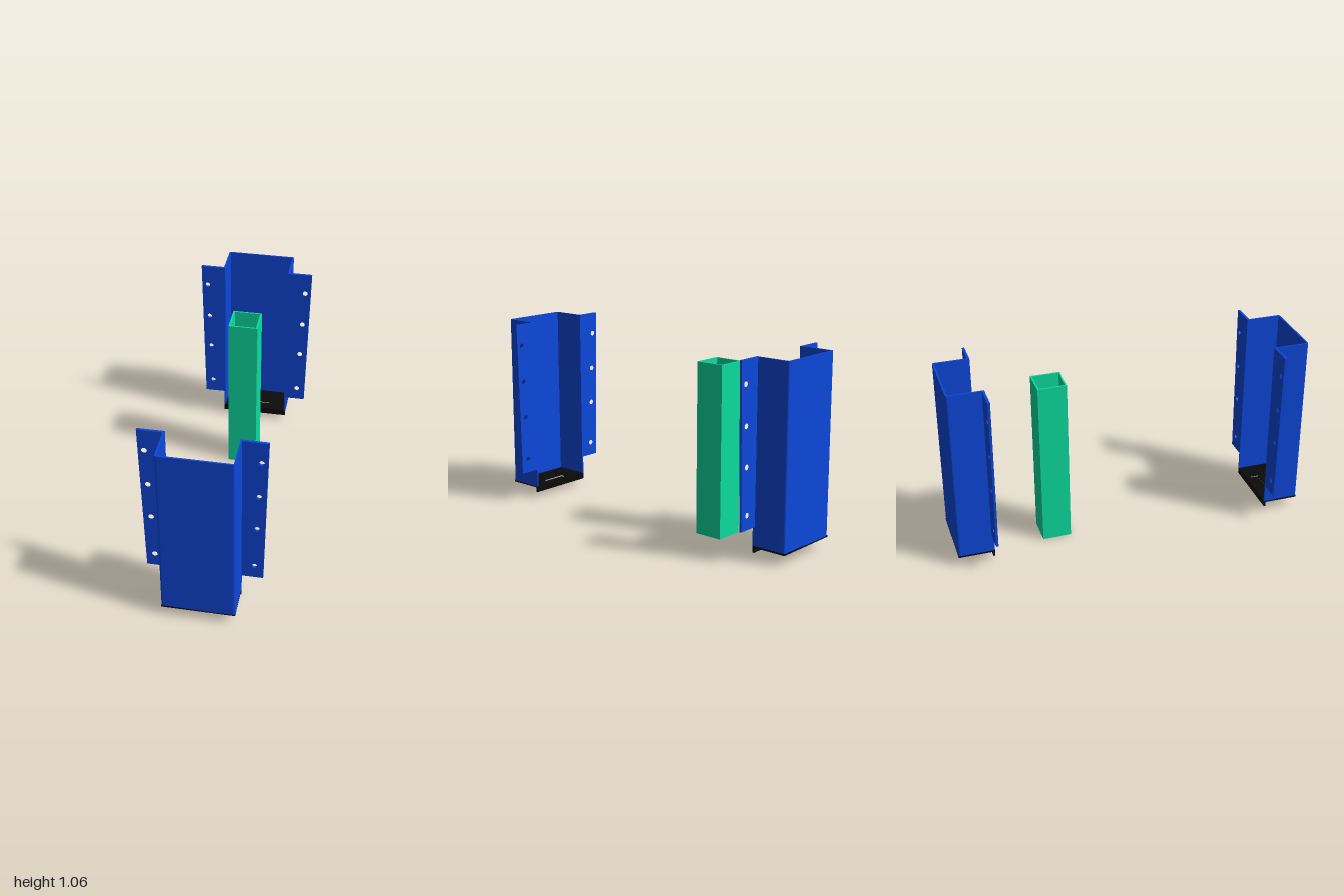
import * as THREE from 'three';

const blue = new THREE.MeshStandardMaterial({ color: 0x0d48dc });
const black = new THREE.MeshStandardMaterial({ color: 0x0b0b0b });
const green = new THREE.MeshStandardMaterial({ color: 0x0cdea0 });

const W = 0.195, T = 0.009, TOP = 1.055, FLOOR = 0.065, INNER = 0.8, OUTER = 1;

function add(group, name, geometry, material) {
  const mesh = new THREE.Mesh(geometry, material);
  mesh.name = name;
  group.add(mesh);
  return mesh;
}

function box(group, name, material, x0, x1, y0, y1, z0, z1) {
  const mesh = add(group, name, new THREE.BoxGeometry(x1 - x0, y1 - y0, z1 - z0), material);
  mesh.position.set((x0 + x1) / 2, (y0 + y1) / 2, (z0 + z1) / 2);
}

// Extrudes a plan outline (x, -z) upwards from y0 to y1
function extrudeUp(shape, y0, y1) {
  return new THREE.ExtrudeGeometry(shape, { depth: y1 - y0, bevelEnabled: false, curveSegments: 5 })
    .rotateX(-Math.PI / 2)
    .translate(0, y0, 0);
}

// U-shaped sheet with bent outer corners
function channelShape() {
  const r = 0.012, w = W - T, b = OUTER - T;
  const s = new THREE.Shape();
  s.moveTo(-W, -INNER);
  s.lineTo(-W, -OUTER + r);
  s.quadraticCurveTo(-W, -OUTER, -W + r, -OUTER);
  s.lineTo(W - r, -OUTER);
  s.quadraticCurveTo(W, -OUTER, W, -OUTER + r);
  s.lineTo(W, -INNER);
  s.lineTo(w, -INNER);
  s.lineTo(w, -b);
  s.lineTo(-w, -b);
  s.lineTo(-w, -INNER);
  s.closePath();
  return s;
}

// Tapered mounting flange with four bolt holes
function flangeGeometry(side) {
  const s = new THREE.Shape([
    [W - 0.004, 0.17], [0.309, 0.17], [0.327, TOP], [W - 0.004, TOP],
  ].map(([x, y]) => new THREE.Vector2(side * x, y)));
  for (const [x, y] of [[0.264, 0.249], [0.274, 0.504], [0.282, 0.717], [0.292, 0.932]]) {
    const hole = new THREE.Path();
    hole.absarc(side * x, y, 0.0145, 0, Math.PI * 2, true);
    s.holes.push(hole);
  }
  return new THREE.ExtrudeGeometry(s, { depth: 0.013, bevelEnabled: false, curveSegments: 16 })
    .translate(0, 0, INNER);
}

function createBracket(name) {
  const g = new THREE.Group();
  g.name = name;
  add(g, 'channel', extrudeUp(channelShape(), FLOOR, TOP), blue);
  add(g, 'leftFlange', flangeGeometry(1), blue);
  add(g, 'rightFlange', flangeGeometry(-1), blue);

  // Base plate with a rectangular opening
  const plate = new THREE.Shape();
  plate.moveTo(-W, -OUTER);
  plate.lineTo(W, -OUTER);
  plate.lineTo(W, -INNER);
  plate.lineTo(-W, -INNER);
  plate.closePath();
  const opening = new THREE.Path();
  opening.moveTo(-0.085, -0.88);
  opening.lineTo(-0.085, -0.83);
  opening.lineTo(0.085, -0.83);
  opening.lineTo(0.085, -0.88);
  opening.closePath();
  plate.holes.push(opening);
  add(g, 'basePlate', extrudeUp(plate, 0.058, 0.068), black);

  // Turned-down lip and the shallow latch pocket below the opening
  box(g, 'baseLip', black, -W, W, 0.03, 0.06, INNER, INNER + 0.01);
  box(g, 'latchPocket', black, -0.09, 0.09, 0.032, 0.05, INNER + 0.01, 0.885);
  return g;
}

// Square hollow post, open at both ends
function createPost() {
  const o = 0.0825, i = 0.0735;
  const s = new THREE.Shape();
  s.moveTo(-o, -o);
  s.lineTo(o, -o);
  s.lineTo(o, o);
  s.lineTo(-o, o);
  s.closePath();
  const bore = new THREE.Path();
  bore.moveTo(-i, -i);
  bore.lineTo(-i, i);
  bore.lineTo(i, i);
  bore.lineTo(i, -i);
  bore.closePath();
  s.holes.push(bore);
  return extrudeUp(s, 0, 0.955);
}

export function createModel() {
  const model = new THREE.Group();
  model.name = 'postBrackets';
  model.add(createBracket('frontBracket'));
  const back = createBracket('backBracket');
  back.rotation.y = Math.PI;
  model.add(back);
  add(model, 'squarePost', createPost(), green).position.z = -0.418;
  return model;
}
